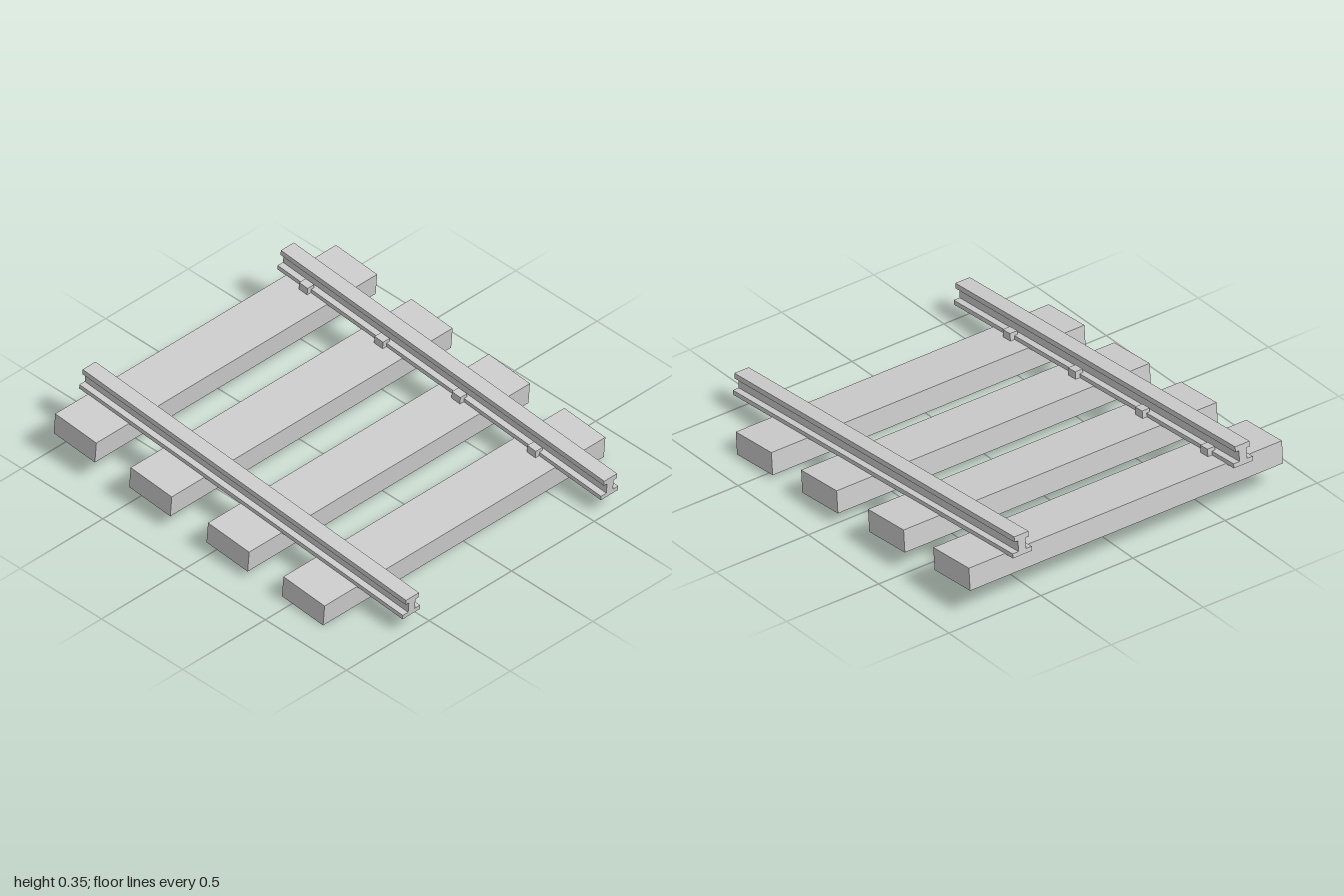
import * as THREE from 'three';

export function createModel() {
  const model = new THREE.Group();
  model.name = 'slopedTrack';
  const material = new THREE.MeshStandardMaterial({ color: 0xcccccc, flatShading: true });

  // Everything is laid out flat (sleeper tops at y = 0), then tilted uphill towards the back
  const track = new THREE.Group();
  track.name = 'track';
  track.rotation.x = 0.0818;
  track.position.y = 0.169;
  model.add(track);

  const add = (name, geometry, x, y, z) => {
    const mesh = new THREE.Mesh(geometry, material);
    mesh.name = name;
    mesh.position.set(x, y, z);
    track.add(mesh);
  };

  // I-shaped rail section: half outline mirrored about x = 0
  const half = [[0.052, 0], [0.052, 0.022], [0.02, 0.022], [0.02, 0.075], [0.039, 0.075], [0.039, 0.101]];
  const outline = [...half, ...half.map(([x, y]) => [-x, y]).reverse()];
  const section = new THREE.Shape(outline.map(([x, y]) => new THREE.Vector2(x, y)));
  const railLength = 1.998;
  const railGeometry = new THREE.ExtrudeGeometry(section, { depth: railLength, bevelEnabled: false });
  railGeometry.translate(0, 0, -railLength / 2);

  const sleeperGeometry = new THREE.BoxGeometry(1.7, 0.111, 0.254);
  const clipGeometry = new THREE.BoxGeometry(0.04, 0.038, 0.052);
  const sleeperZ = [0.588, 0.122, -0.356, -0.822];

  // Sleepers
  sleeperZ.forEach((z) => add('sleeper', sleeperGeometry, 0, -0.0555, z));

  // Rails, with a clip on the inner side at each sleeper
  for (const side of [-1, 1]) {
    const prefix = side > 0 ? 'left' : 'right';
    add(prefix + 'Rail', railGeometry, side * 0.6, -0.003, -0.004);
    sleeperZ.forEach((z) => add(prefix + 'RailClip', clipGeometry, side * 0.545, 0.018, z));
  }
  return model;
}
